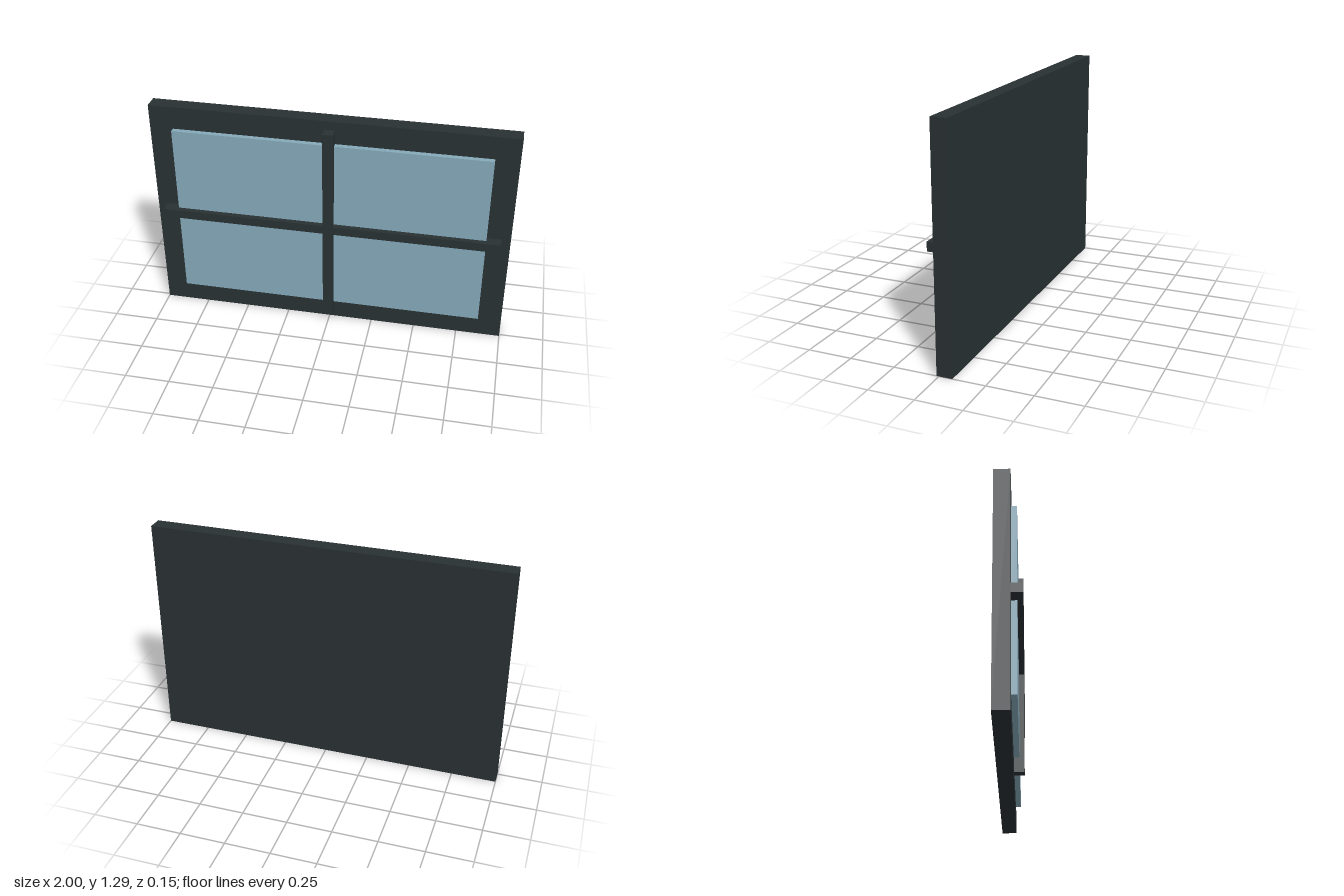
import * as THREE from 'three';

export function createModel() {
  const group = new THREE.Group();
  const dark = new THREE.MeshStandardMaterial({ color: 0x293133 });
  const blue = new THREE.MeshStandardMaterial({ color: 0x84a8b8 });
  const midY = 0.645;

  // Box centred on x = 0 and mid height, spanning z from back to front
  function slab(name, width, height, back, front, material) {
    const mesh = new THREE.Mesh(new THREE.BoxGeometry(width, height, front - back), material);
    mesh.name = name;
    mesh.position.set(0, midY, (back + front) / 2);
    group.add(mesh);
  }

  // Solid backing frame
  slab('frame', 2, 1.29, -0.073, 0.013, dark);
  // Raised glass pane
  slab('glassPane', 1.74, 1.03, -0.013, 0.043, blue);
  // Crossing glazing bars
  slab('verticalBar', 0.058, 1.19, 0, 0.071, dark);
  slab('horizontalBar', 1.9, 0.05, 0, 0.073, dark);

  return group;
}
